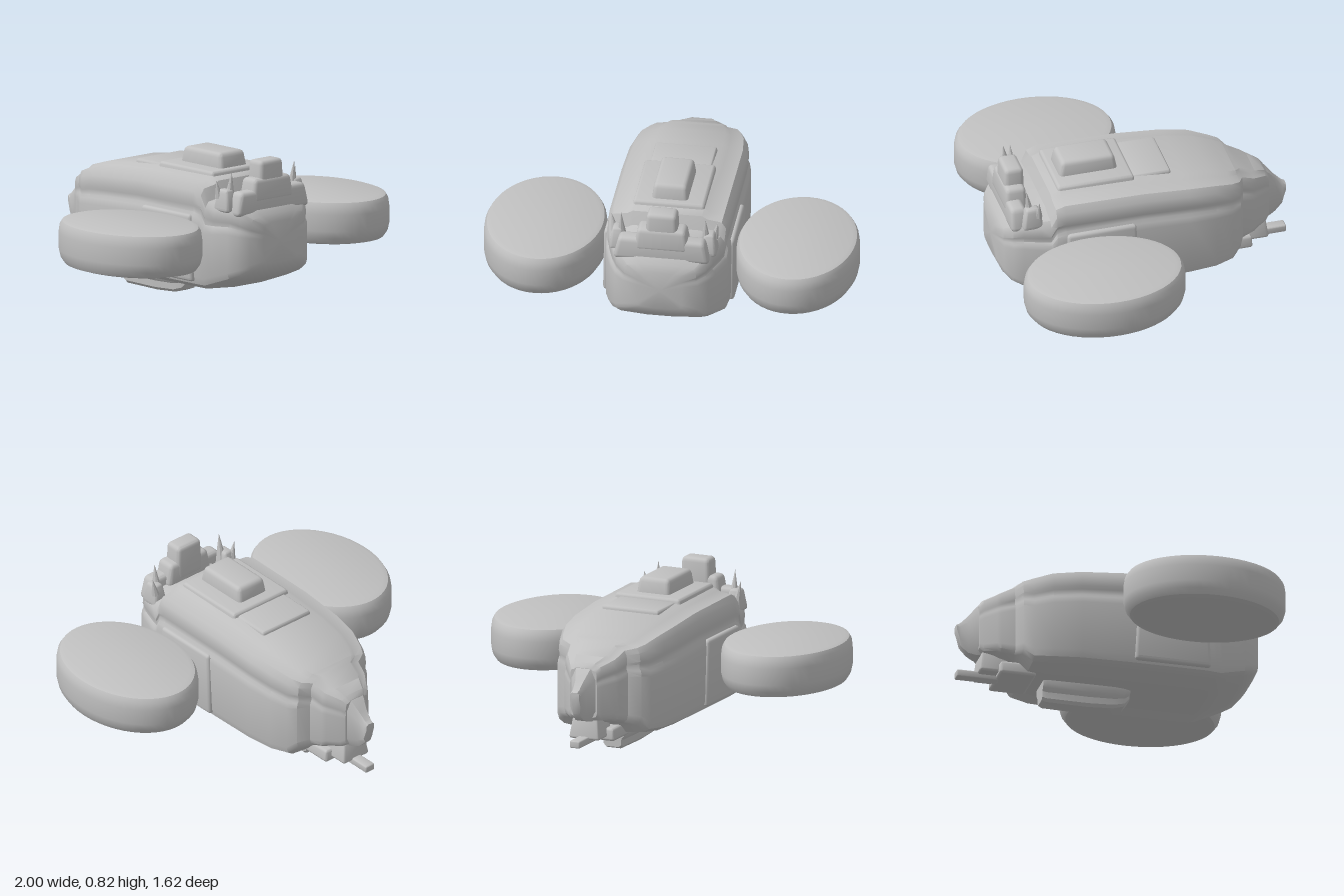
import * as THREE from 'three';
import { toCreasedNormals } from 'three/addons/utils/BufferGeometryUtils.js';
import { RoundedBoxGeometry } from 'three/addons/geometries/RoundedBoxGeometry.js';

const grey = new THREE.MeshStandardMaterial({ color: 0xc0c0c0 });
grey.name = 'hull grey';

function add(group, name, geometry) {
  const mesh = new THREE.Mesh(toCreasedNormals(geometry, 0.6), grey);
  mesh.name = name;
  group.add(mesh);
  return mesh;
}

// Skin a half profile [x share, y share], mirrored, over sections [z, bottom, top, halfWidth] from back to front
function loft(half, sections) {
  const ring = [...half, ...half.slice().reverse().map(([x, y]) => [-x, y])];
  const n = ring.length, pos = [], idx = [];
  for (const [z, bottom, top, w] of sections) {
    for (const [x, y] of ring) pos.push(x * w, bottom + y * (top - bottom), z);
  }
  for (let i = 0; i < sections.length - 1; i++) {
    for (let j = 0; j < n; j++) {
      const k = (j + 1) % n, a = i * n, b = a + n;
      idx.push(a + j, a + k, b + k, a + j, b + k, b + j);
    }
  }
  // End caps
  for (const end of [0, sections.length - 1]) {
    const [z, bottom, top] = sections[end], c = pos.length / 3;
    pos.push(0, (bottom + top) / 2, z);
    for (let j = 0; j < n; j++) {
      const a = end * n + j, b = end * n + (j + 1) % n;
      idx.push(c, ...(end ? [a, b] : [b, a]));
    }
  }
  const g = new THREE.BufferGeometry();
  g.setAttribute('position', new THREE.Float32BufferAttribute(pos, 3));
  g.setIndex(idx);
  return g;
}

// Rounded block between two corners; the top is scaled by taper and the bottom by baseTaper
function block([x0, x1], [y0, y1], [z0, z1], taper = 1, baseTaper = 1, radius = 0.015) {
  const h = y1 - y0;
  const g = new RoundedBoxGeometry(x1 - x0, h, z1 - z0, 2, radius);
  const p = g.attributes.position;
  for (let i = 0; i < p.count; i++) {
    const s = THREE.MathUtils.lerp(baseTaper, taper, p.getY(i) / h + 0.5);
    p.setX(i, p.getX(i) * s);
    p.setZ(i, p.getZ(i) * s);
  }
  return g.translate((x0 + x1) / 2, (y0 + y1) / 2, (z0 + z1) / 2);
}

// Oval disc with softened rims
function podGeometry() {
  const rim = [[0, 0.28], [0.82, 0.28], [0.92, 0.29], [0.975, 0.32], [1, 0.36], [1, 0.45],
    [0.985, 0.49], [0.95, 0.512], [0.88, 0.52], [0, 0.52]];
  const g = new THREE.LatheGeometry(rim.map(([r, y]) => new THREE.Vector2(r, y)), 48);
  return g.scale(0.325, 1, 0.435);
}

export function createModel() {
  const model = new THREE.Group();
  model.name = 'hoverCraft';

  // Main body: boxy hull with a groove under the roof edge
  const hullProfile = [[0.3, 0], [0.85, 0.03], [0.96, 0.07], [1, 0.14], [1, 0.62], [0.985, 0.68],
    [0.95, 0.71], [0.95, 0.76], [0.97, 0.79], [0.95, 0.89], [0.88, 0.95], [0.65, 0.97], [0.56, 1]];
  add(model, 'hull', loft(hullProfile, [
    [-0.7, 0.25, 0.52, 0.08], [-0.68, 0.23, 0.545, 0.1], [-0.62, 0.22, 0.57, 0.145],
    [-0.6, 0.21, 0.58, 0.16], [-0.53, 0.19, 0.615, 0.18], [-0.5, 0.175, 0.63, 0.245],
    [-0.45, 0.125, 0.645, 0.275], [-0.35, 0.115, 0.675, 0.31], [-0.2, 0.115, 0.695, 0.33],
    [0.05, 0.115, 0.715, 0.335], [0.48, 0.115, 0.72, 0.335], [0.53, 0.115, 0.7, 0.33],
    [0.56, 0.12, 0.63, 0.325], [0.61, 0.14, 0.62, 0.31], [0.7, 0.175, 0.61, 0.28],
    [0.75, 0.2, 0.58, 0.25], [0.79, 0.24, 0.54, 0.2], [0.81, 0.28, 0.5, 0.12],
  ]));

  // Roof panel and hatch
  add(model, 'roofPanel', block([-0.2, 0.2], [0.66, 0.74], [0.06, 0.5], 0.94));
  add(model, 'roofRearPanel', block([-0.17, 0.17], [0.66, 0.722], [-0.14, 0.1], 0.97));
  add(model, 'roofHatch', block([-0.1, 0.1], [0.71, 0.82], [0.13, 0.46], 0.87, 1, 0.025));

  // Raised cowl across the nose
  add(model, 'noseRidge', block([-0.26, 0.26], [0.54, 0.67], [0.67, 0.765], 0.88, 1, 0.025));
  add(model, 'noseShoulder', block([-0.15, 0.15], [0.6, 0.73], [0.64, 0.765], 0.85, 1, 0.025));
  add(model, 'noseBlock', block([-0.09, 0.09], [0.62, 0.82], [0.64, 0.755], 0.88, 1, 0.025));

  // Fin and spur at the tail
  const soft = [[0.6, 0], [1, 0.2], [1, 0.8], [0.6, 1]];
  add(model, 'tailFin', loft(soft, [
    [-0.81, 0.37, 0.41, 0.026], [-0.79, 0.29, 0.42, 0.03], [-0.75, 0.25, 0.46, 0.04],
    [-0.71, 0.235, 0.51, 0.065], [-0.66, 0.23, 0.55, 0.09],
  ]));
  add(model, 'tailStep', block([-0.09, 0.09], [0.13, 0.25], [-0.7, -0.53], 0.8));
  add(model, 'tailPlate', block([-0.13, 0.13], [0.11, 0.18], [-0.6, -0.4], 0.95));
  add(model, 'tailSpur', block([-0.03, 0.03], [0.107, 0.147], [-0.81, -0.58], 1, 1, 0.008));

  // Keel: stepped runner beneath the body
  add(model, 'keelRunner', loft([[0.5, 0], [0.68, 0.12], [0.7, 0.4], [0.9, 0.55], [1, 0.75], [1, 1]], [
    [-0.35, 0.015, 0.13, 0.075], [-0.33, 0.005, 0.13, 0.082], [-0.1, 0.002, 0.13, 0.085],
    [0.04, 0.01, 0.13, 0.085], [0.1, 0.03, 0.13, 0.075], [0.13, 0.07, 0.13, 0.06],
  ]));

  for (const side of [-1, 1]) {
    const name = side > 0 ? 'left' : 'right';

    // Side pods and the bulges that join them to the hull
    add(model, name + 'Pod', podGeometry()).position.set(side * 0.675, 0, 0.373);
    add(model, name + 'PodMount', block([-0.03, 0.03], [0.17, 0.53], [0.08, 0.5], 0.9, 1, 0.02))
      .position.x = side * 0.322;

    // Curved horns at the front corners
    const horn = new THREE.Group();
    horn.name = name + 'Horn';
    add(horn, 'hornBase', block([-0.045, 0.045], [0.56, 0.68], [0.59, 0.71], 0.6, 1, 0.02));
    const tip = add(horn, 'hornTip', new THREE.ConeGeometry(0.032, 0.17, 8));
    tip.position.set(-0.02, 0.69, 0.665);
    tip.rotation.x = 0.12;
    const prong = add(horn, 'hornProng', new THREE.ConeGeometry(0.022, 0.1, 8));
    prong.position.set(0.03, 0.68, 0.62);
    prong.rotation.z = -0.2 * side;
    horn.position.x = side * 0.245;
    horn.children.forEach((part) => { part.position.x *= side; });
    model.add(horn);
  }
  return model;
}
